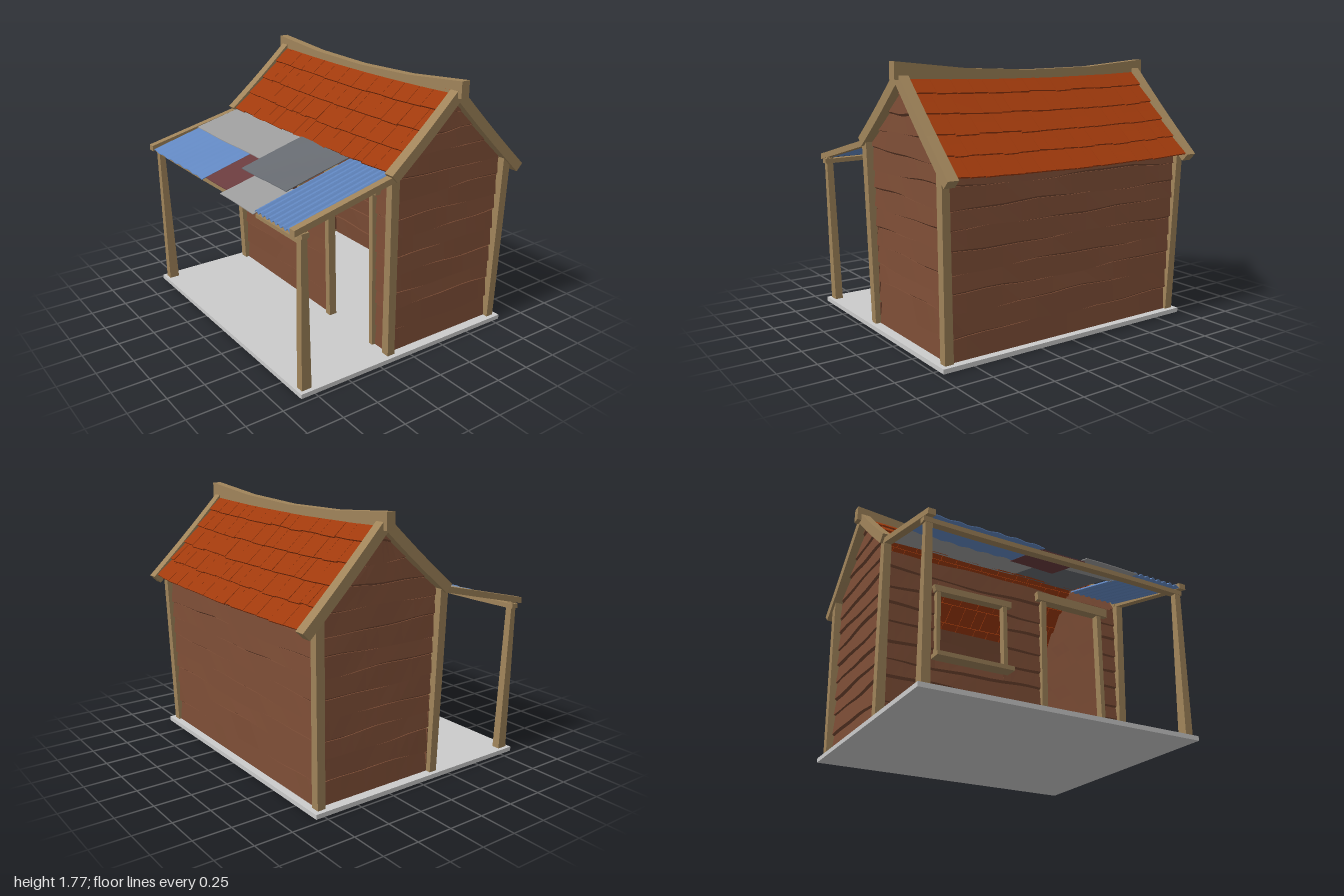
import * as THREE from 'three';
import { mergeGeometries } from 'three/addons/utils/BufferGeometryUtils.js';

const mat = (color) => new THREE.MeshStandardMaterial({ color, flatShading: true });
const WOOD = mat(0xa0845a), PLANK = mat(0x7b4c35), TILE = mat(0xa03a0c), STONE = mat(0xcccccc);
const BLUE = mat(0x6288c2), MAROON = mat(0x6a3c3e), DARK = mat(0x666a70), GREY = mat(0x9c9c9c);
const lerp = THREE.MathUtils.lerp;

let seed = 7;
const rand = () => (seed = (seed * 16807) % 2147483647) / 2147483647;

// Box bent by a rule: f(u, v, w) -> [x, y, z], each input running 0..1
function bentBox(f, su = 1, sv = 1, sw = 1) {
  const g = new THREE.BoxGeometry(1, 1, 1, su, sv, sw);
  const p = g.attributes.position;
  for (let i = 0; i < p.count; i++) p.setXYZ(i, ...f(p.getX(i) + 0.5, p.getY(i) + 0.5, p.getZ(i) + 0.5));
  // Turn the faces round when the rule mirrors the box
  const c = new THREE.Vector3(...f(0.5, 0.5, 0.5));
  const d = [[0.51, 0.5, 0.5], [0.5, 0.51, 0.5], [0.5, 0.5, 0.51]].map((q) => new THREE.Vector3(...f(...q)).sub(c));
  if (d[0].cross(d[1]).dot(d[2]) < 0) g.index.array.reverse();
  const flat = g.toNonIndexed();
  flat.computeVertexNormals();
  return flat;
}

// Height change of the sagging ridge
const sag = (x) => 0.06 * x * x + 0.008 * x - 0.06;

// Roof slopes, running from the ridge (t = 0) to the eaves (t = 1)
const FRONT = { dz: 0.49, dy: -0.43, rows: 4, name: 'front' };
const BACK = { dz: -0.56, dy: -0.56, rows: 5, name: 'back' };
function slopePoint(s, x, t, n, sagging) {
  const len = Math.hypot(s.dz, s.dy);
  const nz = (-s.dy / len) * Math.sign(s.dz), ny = Math.abs(s.dz) / len;
  const y = 1.70 + s.dy * t - 0.008 * Math.sin(Math.PI * t) + sagging * sag(x);
  return [x, y + ny * n, -0.31 + s.dz * t + nz * n];
}

// Lean of the walls and the edges of the gable at height y
const wallX = (y) => 0.885 + 0.015 * y;
const frontZ = (y) => Math.min(0.125 + 0.02 * y, -0.31 + 0.49 * (1.68 - y) / 0.43);
const backZ = (y) => Math.max(-0.745 - 0.02 * y, -0.31 - (1.68 - y));
const ROWS = [0.03, 0.17, 0.32, 0.435, 0.56, 0.69, 0.82, 0.94, 1.07, 1.2, 1.33, 1.45, 1.57, 1.68];
const edge = (j, s) => (j === 0 || j === 13 ? ROWS[j]
  : ROWS[j] + 0.007 * Math.sin(5 * s + j * 2.3) + 0.004 * Math.sin(13 * s + j * 4.1));
// Plank height with an uneven bevel along the outer lower edge, and plank thickness
const plankY = (j, s, v, w) => lerp(edge(j, s), edge(j + 1, s), v)
  + (j ? 0.016 * w * (1 - v) * Math.abs(Math.sin(2.2 * s + j * 1.7)) : 0);
const outset = (v, w) => 0.022 * w + 0.014 * (1 - v) - 0.022;

export function createModel() {
  const root = new THREE.Group();
  root.name = 'cabin';
  const add = (name, geometry, material) => {
    const m = new THREE.Mesh(geometry, material);
    m.name = name;
    root.add(m);
  };
  const box = (name, x0, x1, y0, y1, z0, z1, material = WOOD) =>
    add(name, bentBox((u, v, w) => [lerp(x0, x1, u), lerp(y0, y1, v), lerp(z0, z1, w)]), material);
  // Post with centre and size [x, z, width, depth] at the foot and the top
  const post = (name, y0, y1, a, b) => add(name, bentBox((u, v, w) => {
    const [x, z, sx, sz] = a.map((q, i) => lerp(q, b[i], v));
    return [x + (u - 0.5) * sx, lerp(y0, y1, v), z + (w - 0.5) * sz];
  }), WOOD);

  box('floor', -0.965, 0.965, 0, 0.03, -0.81, 0.85, STONE);

  // Front wall, divided around the window and door openings: [x0, x1, hole bottom, hole top]
  const spans = [[-0.9, -0.545], [-0.545, -0.045, 0.515, 0.985], [-0.045, 0.27], [0.27, 0.75, 0, 1.12], [0.75, 0.9]];
  const front = [], back = [];
  for (let j = 0; j < 9; j++) {
    for (const [x0, x1, lo = 9, hi = 9] of spans) {
      const piece = (limit) => front.push(bentBox((u, v, w) => {
        const x = lerp(x0, x1, u);
        const y = limit(plankY(j, x, v, w));
        return [x, y, frontZ(Math.min(y, 1.2)) + outset(v, w)];
      }, 5));
      if (ROWS[j] < lo) piece((y) => Math.min(y, lo));
      if (ROWS[j + 1] > hi) piece((y) => Math.max(y, hi));
    }
    back.push(bentBox((u, v, w) => {
      const x = lerp(-0.9, 0.9, u);
      const y = Math.min(1.18, plankY(j, x + 2, v, w));
      return [x, y, backZ(y) - outset(v, w)];
    }, 14));
  }
  add('frontWall', mergeGeometries(front), PLANK);
  add('backWall', mergeGeometries(back), PLANK);

  for (const side of [1, -1]) {
    // Side wall with gable
    const planks = [];
    for (let j = 0; j < 13; j++) planks.push(bentBox((u, v, w) => {
      const s = lerp(-0.75, 0.14, u);
      const y = plankY(j, s + side, v, w);
      return [side * (wallX(y) + outset(v, w)), y, lerp(backZ(y), frontZ(y), u)];
    }, 10));
    add(side > 0 ? 'leftWall' : 'rightWall', mergeGeometries(planks), PLANK);

    // Corner posts and porch posts
    post('frontCornerPost', 0.03, 1.26, [side * 0.905, 0.14, 0.06, 0.055], [side * 0.935, 0.165, 0.05, 0.06]);
    post('backCornerPost', 0.03, 1.2, [side * 0.905, -0.75, 0.06, 0.055], [side * 0.935, -0.775, 0.05, 0.06]);
    post('porchPost', 0.03, 1.07, [side * 0.91, 0.793, 0.055, 0.07], [side * 0.93, 0.812, 0.045, 0.04]);

    // Porch rafter
    add('porchRafter', bentBox((u, v, w) => {
      const z = lerp(0.16, 0.88, w);
      return [side * (0.91 + 0.05 * u), 1.216 - 0.24 * (z - 0.2) + 0.04 * v, z];
    }), WOOD);

    // Boards along the gable edges
    for (const s of [FRONT, BACK]) add('bargeBoard', bentBox((u, v, w) => {
      const [x, y, z] = slopePoint(s, side, lerp(-0.02, 1.03, w), lerp(-0.045, 0.022, v), 0);
      return [x * (0.905 + (0.065 + 0.008 * w) * u), y, z];
    }, 1, 1, 5), WOOD);
  }

  // Roof tiles in overlapping courses
  for (const s of [FRONT, BACK]) {
    const tiles = [];
    for (let r = 0; r < s.rows; r++) {
      let x0 = -0.91;
      while (x0 < 0.9) {
        let x1 = x0 + 0.07 + 0.1 * rand();
        if (x1 > 0.86) x1 = 0.91;
        const a = x0, b = x1 - 0.003, t0 = (r - 0.14) / s.rows;
        const t1 = (r + 1 + 0.05 * (rand() - 0.5)) / s.rows, skew = 0.012 * (rand() - 0.5), lift = 0.004 * rand();
        tiles.push(bentBox((u, v, w) => slopePoint(s, lerp(a, b, u), lerp(t0, t1 + skew * u, w),
          -0.01 + (0.014 + lift) * w + 0.012 * v, 0.35), 1, 1, 2));
        x0 = x1;
      }
    }
    add(s.name + 'RoofTiles', mergeGeometries(tiles), TILE);
  }

  // Ridge beam
  add('ridgeBeam', bentBox((u, v, w) => {
    const x = lerp(-1, 1, u);
    return [x, 1.66 + 0.107 * v + sag(x), -0.315 + (w - 0.5) * 0.062 - 0.004 * x];
  }, 4), WOOD);

  // Porch beam
  add('porchBeam', bentBox((u, v, w) => {
    const x = lerp(-0.965, 0.965, u);
    return [x, 1.03 + 0.032 * v + 0.005 * Math.sin(3 * x), 0.785 + 0.05 * w];
  }, 6), WOOD);

  // Porch roof sheets; the ripple is a function of x and z
  const sheet = (name, x0, x1, z0, z1, lift, material, ripple, n = 12) => add(name, bentBox((u, v, w) => {
    const x = lerp(x0, x1, u), z = lerp(z0, z1, w);
    return [x, 1.245 - 0.27 * (z - 0.2) + lift + 0.005 * v + ripple(x, z), z];
  }, n, 1, 4), material);
  const wavy = (x, z) => 0.003 * Math.sin(9 * x + 6 * z);
  sheet('blueSheet', -0.93, -0.16, 0.48, 0.87, -0.004, BLUE, (x, z) => 0.004 * Math.sin(48 * x) + wavy(x, z), 64);
  sheet('maroonSheet', -0.17, 0.16, 0.46, 0.84, -0.009, MAROON, wavy);
  sheet('lowerGreySheet', 0.135, 0.54, 0.6, 0.895, -0.004, GREY, wavy);
  sheet('upperGreySheet', -0.94, 0.03, 0.15, 0.515, 0.008, GREY, wavy);
  sheet('darkSheet', -0.01, 0.525, 0.15, 0.655, 0.012, DARK, wavy);
  sheet('corrugatedSheet', 0.525, 0.91, 0.15, 0.875, 0.002, BLUE, (x) => 0.009 * Math.sin(130 * x), 64);

  // Window frame
  post('windowJamb', 0.52, 0.98, [-0.545, 0.16, 0.026, 0.05], [-0.555, 0.165, 0.03, 0.05]);
  post('windowJamb', 0.52, 0.98, [-0.045, 0.16, 0.03, 0.05], [-0.055, 0.165, 0.03, 0.05]);
  add('windowLintel', bentBox((u, v, w) => [lerp(-0.58, -0.005, u) - 0.012 * v * (1 - u),
    lerp(0.965, 1.01, v) + 0.012 * u, 0.13 + 0.065 * w]), WOOD);
  box('windowSill', -0.575, -0.01, 0.495, 0.525, 0.11, 0.24);

  // Door frame
  post('doorJamb', 0.03, 1.12, [0.268, 0.135, 0.045, 0.055], [0.268, 0.155, 0.04, 0.055]);
  post('doorJamb', 0.03, 1.12, [0.752, 0.135, 0.03, 0.055], [0.745, 0.155, 0.036, 0.055]);
  box('doorLintel', 0.21, 0.81, 1.1, 1.165, 0.125, 0.195);

  return root;
}
